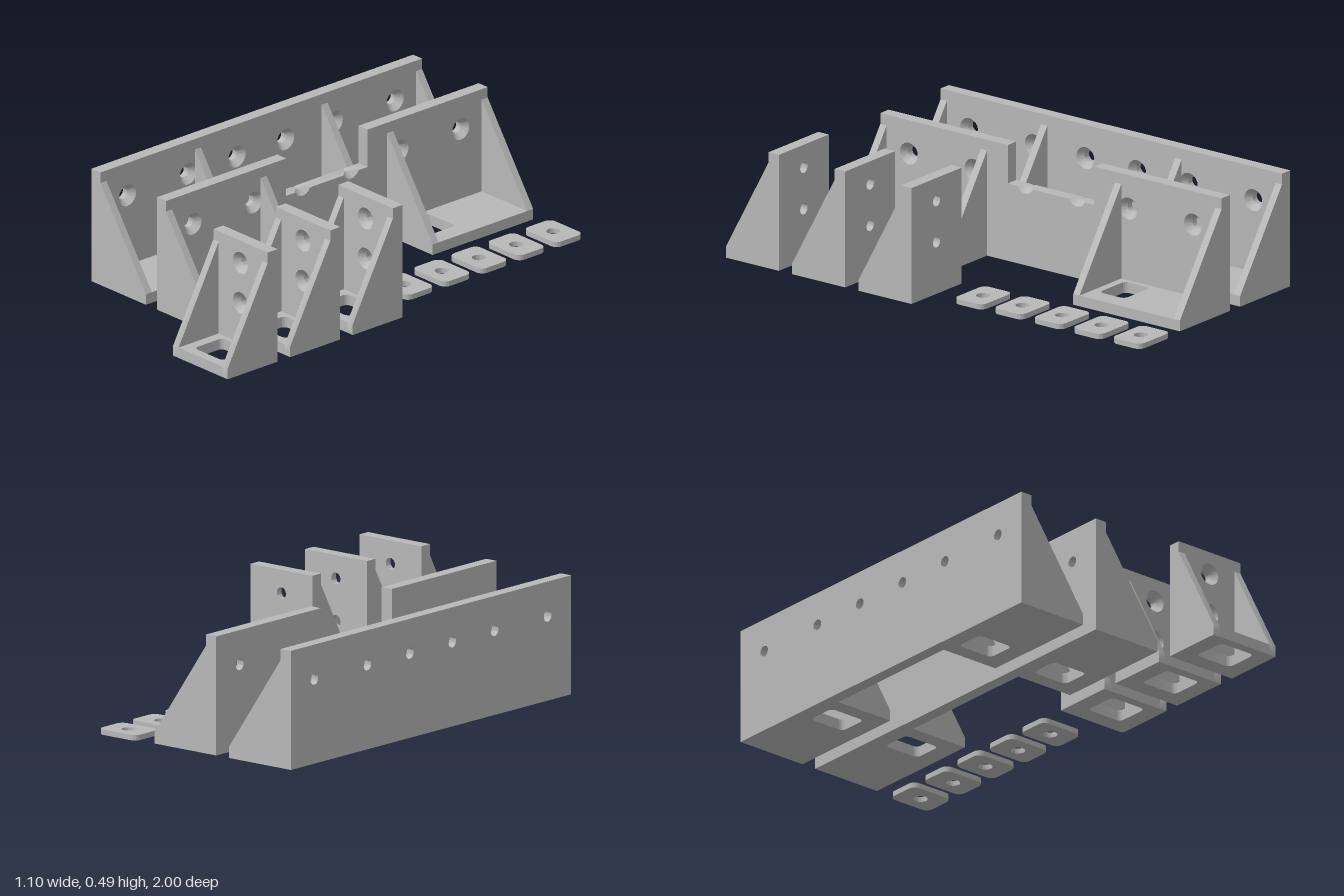
import * as THREE from 'three';
import { mergeGeometries, toCreasedNormals } from 'three/addons/utils/BufferGeometryUtils.js';

const grey = new THREE.MeshStandardMaterial({ color: 0xb8b8b8 });
grey.name = 'plain grey';

const H = 0.485, T = 0.053, BASE = 0.045, WALL = 0.032, SHOULDER = 0.44;
const BORE = 0.0235, SINK = 0.0455, SINK_DEPTH = 0.027;

const V = (x, y) => new THREE.Vector2(x, y);

function add(group, name, geometry) {
  const mesh = new THREE.Mesh(toCreasedNormals(geometry, 0.5), grey);
  mesh.name = name;
  group.add(mesh);
  return mesh;
}

// Clockwise circle, used as a hole contour
function circle(cx, cy, r, n = 32) {
  return Array.from({ length: n }, (_, i) => {
    const a = -i / n * Math.PI * 2;
    return V(cx + r * Math.cos(a), cy + r * Math.sin(a));
  });
}

function roundedRect(path, cx, cy, w, h, r) {
  const x = w / 2 - r, y = h / 2 - r, q = Math.PI / 2;
  path.absarc(cx + x, cy + y, r, 0, q);
  path.absarc(cx - x, cy + y, r, q, 2 * q);
  path.absarc(cx - x, cy - y, r, 2 * q, 3 * q);
  path.absarc(cx + x, cy - y, r, 3 * q, 4 * q);
  path.closePath();
  return path;
}

// Upright plate, back at z = 0; contours(r) gives [outline, ...holes] for a bore radius r
function countersunkPlate(contours) {
  const sections = [[0, BORE]];
  for (let i = 0; i <= 4; i++) {
    sections.push([T - SINK_DEPTH * (1 - i / 4), BORE + (SINK - BORE) * i / 4]);
  }
  const rings = sections.map(([z, r]) => ({ z, loops: contours(r) }));
  const pos = [];
  for (let s = 0; s < rings.length - 1; s++) {
    const a = rings[s], b = rings[s + 1];
    a.loops.forEach((loop, k) => loop.forEach((p, i) => {
      const j = (i + 1) % loop.length, q = loop[j], P = b.loops[k][i], Q = b.loops[k][j];
      pos.push(p.x, p.y, a.z, q.x, q.y, a.z, Q.x, Q.y, b.z);
      pos.push(p.x, p.y, a.z, Q.x, Q.y, b.z, P.x, P.y, b.z);
    }));
  }
  const walls = new THREE.BufferGeometry();
  walls.setAttribute('position', new THREE.Float32BufferAttribute(pos, 3));

  const cap = ({ z, loops }, flip) => {
    const shape = new THREE.Shape(loops[0]);
    shape.holes = loops.slice(1).map((l) => new THREE.Path(l));
    const g = new THREE.ShapeGeometry(shape).translate(0, 0, z);
    if (flip) g.index.array.reverse();
    const flat = g.toNonIndexed();
    flat.deleteAttribute('uv');
    flat.deleteAttribute('normal');
    return flat;
  };
  return mergeGeometries([walls, cap(rings[0], true), cap(rings[rings.length - 1], false)]);
}

const rectangle = (w) => [V(-w / 2, 0), V(w / 2, 0), V(w / 2, H), V(-w / 2, H)];

// Plate outline with a wide notch whose floor cuts through some bores
function notchedOutline(w, half, floor, centres, cy, r) {
  const pts = [V(-w / 2, 0), V(w / 2, 0), V(w / 2, H), V(half, H), V(half, floor)];
  const a0 = Math.asin((cy - floor) / r);
  for (const cx of centres) {
    for (let i = 0; i <= 16; i++) {
      const a = -a0 - (Math.PI - 2 * a0) * i / 16;
      pts.push(V(cx + r * Math.cos(a), cy + r * Math.sin(a)));
    }
  }
  pts.push(V(-half, floor), V(-half, H), V(-w / 2, H));
  return pts;
}

// Floor with a rounded window and a sloping gusset on each side
function tray(group, cx, width, depth, win) {
  const inner = width - 2 * WALL;
  const floor = new THREE.Shape([
    V(cx - inner / 2, -depth), V(cx + inner / 2, -depth), V(cx + inner / 2, -T), V(cx - inner / 2, -T)]);
  floor.holes.push(roundedRect(new THREE.Path(), win.x, -win.z, win.w, win.d, 0.022));
  const base = new THREE.ExtrudeGeometry(floor, { depth: BASE, bevelEnabled: false, curveSegments: 6 });
  add(group, 'trayFloor', base.rotateX(-Math.PI / 2));

  const side = new THREE.Shape([V(T, 0), V(depth, 0), V(depth, BASE), V(T, SHOULDER)]);
  for (const s of [-1, 1]) {
    const g = new THREE.ExtrudeGeometry(side, { depth: WALL, bevelEnabled: false });
    g.translate(0, 0, -WALL / 2).rotateY(-Math.PI / 2);
    add(group, 'gusset', g.translate(cx + s * (width - WALL) / 2, 0, 0));
  }
}

// Long bracket: shared back plate with a tray at each end
function longBracket(name, notched) {
  const g = new THREE.Group();
  g.name = name;
  const L = 1.718, cy = 0.345, D = 0.322, W = 0.537;
  const outer = [-0.715, -0.39, 0.39, 0.715], middle = [0.13, -0.13];
  const holes = notched ? outer : [...outer, ...middle];
  add(g, 'backPlate', countersunkPlate((r) => [
    notched ? notchedOutline(L, 0.217, 0.324, middle, cy, r) : rectangle(L),
    ...holes.map((x) => circle(x, cy, r))]));
  for (const s of [-1, 1]) {
    tray(g, s * (L - W) / 2, W, D, { x: s * 0.453, z: 0.157, w: 0.129, d: 0.168 });
  }
  g.rotation.y = Math.PI / 2;
  return g;
}

// Short bracket: one tray, two bores one above the other
function shortBracket() {
  const g = new THREE.Group();
  g.name = 'shortBracket';
  const W = 0.322;
  add(g, 'backPlate', countersunkPlate((r) => [
    rectangle(W), circle(0, 0.39, r), circle(0, 0.217, r)]));
  tray(g, 0, W, 0.267, { x: 0, z: 0.15, w: 0.17, d: 0.15 });
  return g;
}

// Flat rounded washer pad
function washerPad() {
  const shape = roundedRect(new THREE.Shape(), 0, 0, 0.197, 0.147, 0.03);
  shape.holes.push(new THREE.Path(circle(0, 0, 0.028)));
  const g = new THREE.ExtrudeGeometry(shape, { depth: 0.022, bevelEnabled: false, curveSegments: 6 });
  return g.rotateX(-Math.PI / 2);
}

export function createModel() {
  const model = new THREE.Group();
  model.name = 'bracketSet';

  const full = longBracket('longBracket', false);
  full.position.set(-0.55, 0, -0.123);
  const notched = longBracket('notchedLongBracket', true);
  notched.position.set(-0.162, 0, -0.123);
  model.add(full, notched);

  for (let i = 0; i < 3; i++) {
    const b = shortBracket();
    b.position.set(0.387, 0, 0.065 + i * 0.334);
    model.add(b);
  }
  for (let i = 0; i < 5; i++) {
    add(model, 'washerPad', washerPad()).position.set(0.34, 0, -0.9265 + i * 0.1985);
  }
  return model;
}
